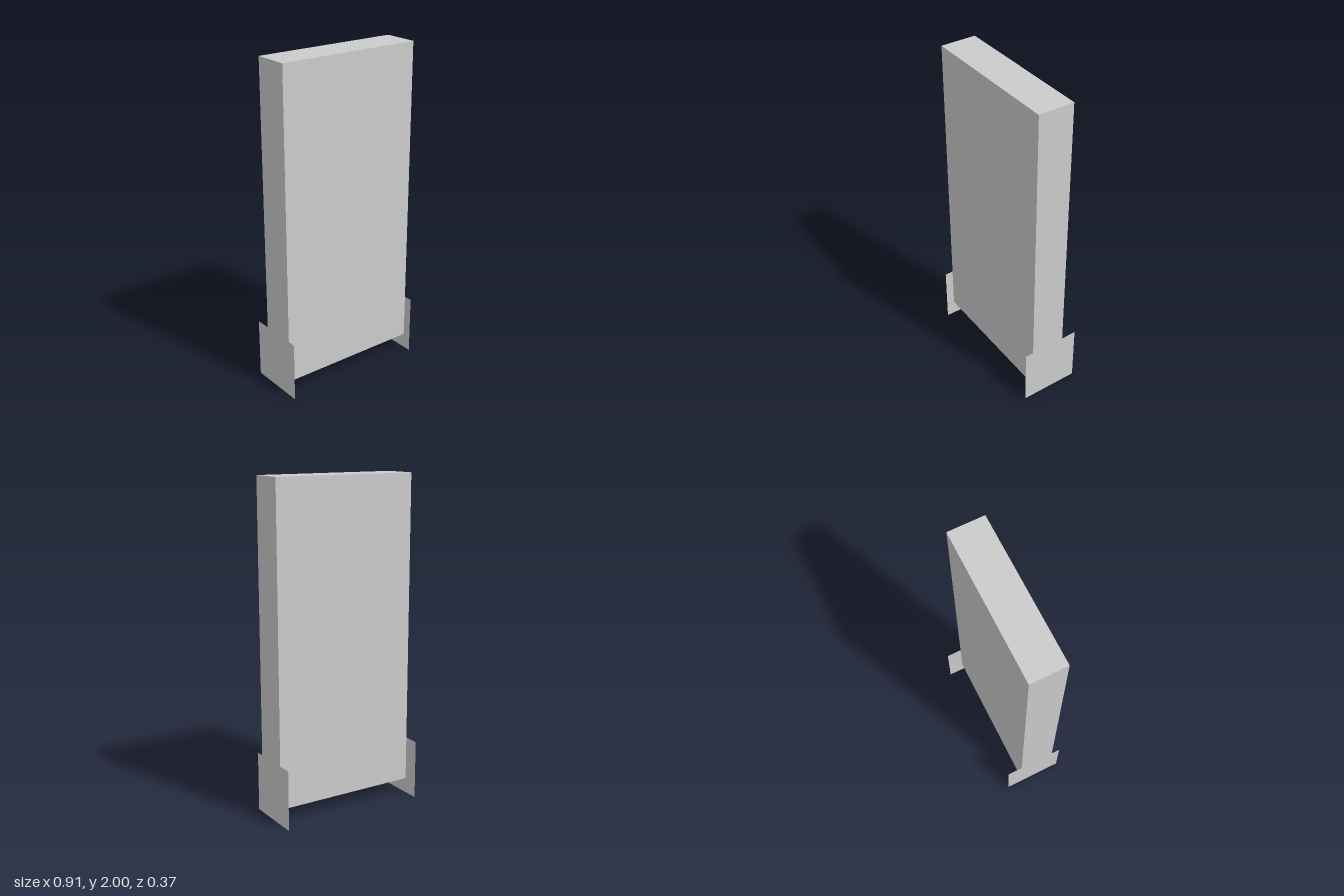
import * as THREE from 'three';

export function createModel() {
  const group = new THREE.Group();
  const material = new THREE.MeshStandardMaterial({ color: 0xcccccc, flatShading: true });
  const thin = new THREE.MeshStandardMaterial({ color: 0xcccccc, flatShading: true, side: THREE.DoubleSide });

  // Upright slab, raised off the ground
  const slab = new THREE.Mesh(new THREE.BoxGeometry(0.904, 1.905, 0.218), material);
  slab.name = 'slab';
  slab.position.set(0, 1.0475, 0.021);
  group.add(slab);

  // Paper-thin foot plate on each end
  for (const side of [1, -1]) {
    const foot = new THREE.Mesh(new THREE.PlaneGeometry(0.365, 0.365), thin);
    foot.name = side > 0 ? 'leftFootPlate' : 'rightFootPlate';
    foot.rotation.y = side * Math.PI / 2;
    foot.position.set(side * 0.453, 0.1825, 0);
    group.add(foot);
  }
  return group;
}
